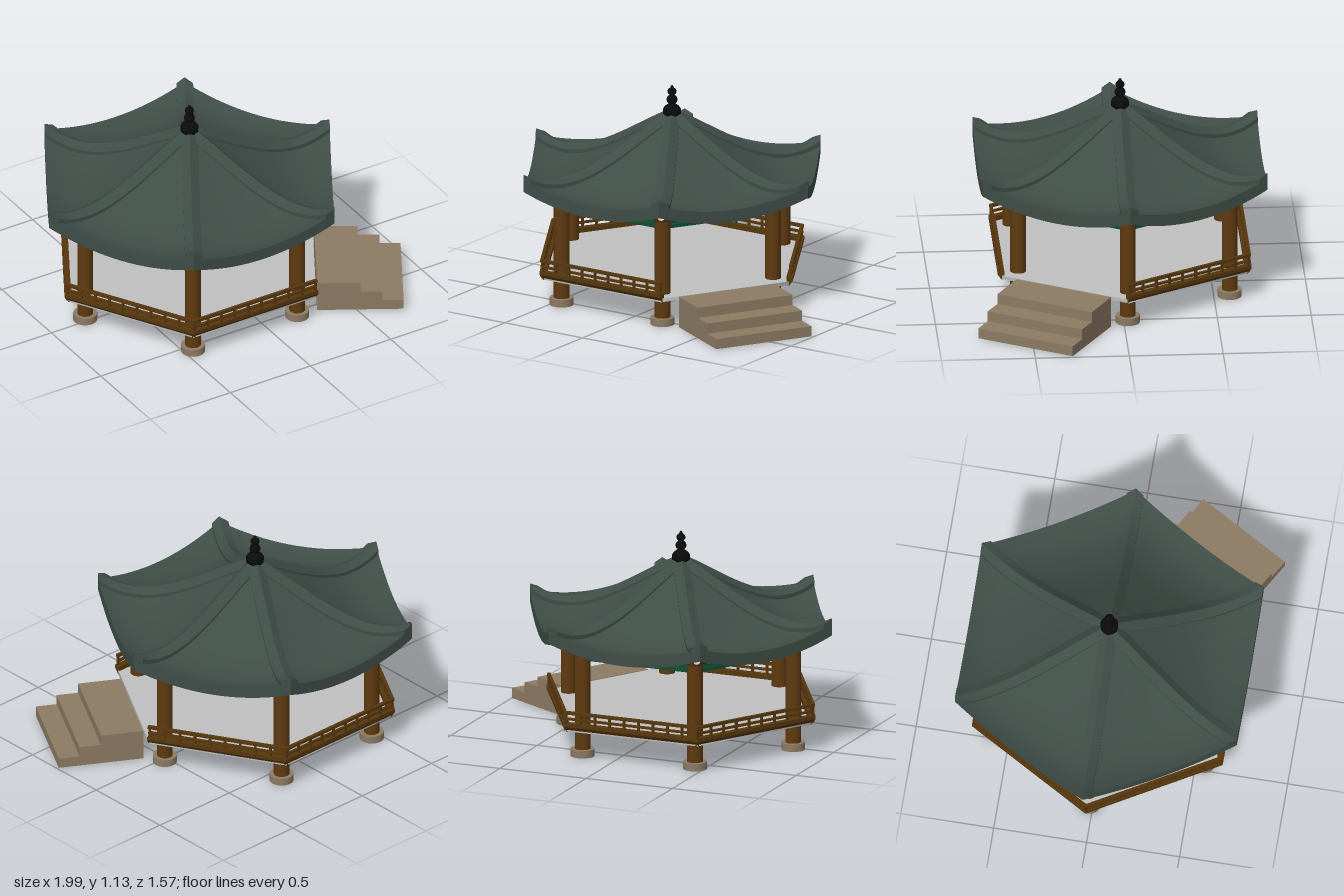
import * as THREE from 'three';

const mat = (name, color) => {
  const m = new THREE.MeshStandardMaterial({ color });
  m.name = name;
  return m;
};

// Surface from a rule f(u, v) -> [x, y, z], u and v in 0..1
function grid(f, nu, nv, flat = false) {
  const pos = [], idx = [];
  for (let i = 0; i <= nu; i++)
    for (let j = 0; j <= nv; j++) pos.push(...f(i / nu, j / nv));
  for (let i = 0; i < nu; i++)
    for (let j = 0; j < nv; j++) {
      const a = i * (nv + 1) + j, c = a + nv + 1;
      idx.push(a, a + 1, c, a + 1, c + 1, c);
    }
  let g = new THREE.BufferGeometry();
  g.setAttribute('position', new THREE.Float32BufferAttribute(pos, 3));
  g.setIndex(idx);
  if (flat) g = g.toNonIndexed();
  g.computeVertexNormals();
  return g;
}

export function createModel() {
  const roofMat = mat('roof tile', 0x3f4d47), wood = mat('wood', 0x5f3a10);
  const green = mat('green paint', 0x0e4d33), stone = mat('stone', 0x8c7a63);
  const floorMat = mat('floor', 0xc0c0c0), black = mat('finial black', 0x0b0b0b);
  const white = mat('white paint', 0xe8e8e8), railWood = mat('railing wood', 0x56370d);

  const model = new THREE.Group();
  model.name = 'pavilion';
  const body = new THREE.Group();
  body.name = 'hexagonalPavilion';
  body.position.set(-0.125, 0, -0.022);
  model.add(body);

  const add = (parent, name, geo, material, x = 0, y = 0, z = 0) => {
    const m = new THREE.Mesh(geo, material);
    m.name = name;
    m.position.set(x, y, z);
    parent.add(m);
    return m;
  };
  // Group whose local +x points outwards at the given angle
  const spoke = (name, degrees) => {
    const g = new THREE.Group();
    g.name = name;
    g.rotation.y = -THREE.MathUtils.degToRad(degrees);
    body.add(g);
    return g;
  };
  const box = (w, h, d) => new THREE.BoxGeometry(w, h, d);

  // Roof rules: t runs from peak to eave, s across one side
  const R = 0.875, A = R * Math.cos(Math.PI / 6), H = R / 2;
  const ridgeY = t => 0.975 - 0.425 * t - 0.385 * t * t + 0.55 * t ** 3;
  const roofY = (t, s) => ridgeY(t) - 0.075 * t * t * (1 - s * s);
  const thick = t => 0.025 + 0.04 * t ** 4;
  const top = (t, s) => [A * t, roofY(t, s), H * t * s];
  const under = (t, s) => [A * t, roofY(t, s) - thick(t), H * t * s];
  const roofTop = grid((u, v) => top(u, 2 * v - 1), 18, 18);
  const roofUnder = grid((u, v) => under(u, 1 - 2 * v), 18, 18);
  const eave = grid((u, v) => (u < 0.5 ? top : under)(1, 2 * v - 1), 1, 18);

  // Hip ridge: peaked section [half width, height above the hip line]
  const section = [[0.045, -0.03], [0.045, 0.008], [0, 0.03], [-0.045, 0.008], [-0.045, -0.03]];
  const ridgePoint = (t, v, low) => {
    const [w, h] = section[Math.round(v * 4)];
    return [R * t - Math.abs(w) * Math.tan(Math.PI / 6), ridgeY(t) + (low ? -0.03 : h), -w];
  };
  const ridge = grid((u, v) => ridgePoint(0.06 + 0.94 * u, v), 20, 4, true);
  const ridgeEnd = grid((u, v) => ridgePoint(1, v, u > 0.5), 1, 4, true);

  // Deck edge board with a chamfered lower edge
  const boardShape = new THREE.Shape([[0.64, 0.15], [0.655, 0.15], [0.675, 0.178],
    [0.675, 0.198], [0.64, 0.198]].map(p => new THREE.Vector2(...p)));
  const board = new THREE.ExtrudeGeometry(boardShape, { depth: 0.776, bevelEnabled: false });
  board.translate(0, 0, -0.388);

  const C = 0.65, CA = C * Math.cos(Math.PI / 6);
  for (let k = 0; k < 6; k++) {
    // One side: roof panel, beams and railing
    const side = spoke('side' + (k + 1), 30 + 60 * k);
    add(side, 'roofPanel', roofTop, roofMat);
    add(side, 'roofUnderside', roofUnder, roofMat);
    add(side, 'roofEave', eave, roofMat);
    add(side, 'upperGreenSlat', box(0.025, 0.024, C), green, CA, 0.565, 0);
    add(side, 'lowerGreenSlat', box(0.025, 0.02, C), green, CA, 0.537, 0);
    const beam = new THREE.CylinderGeometry(0.02, 0.02, C + 0.16, 12).rotateX(Math.PI / 2);
    add(side, 'ringBeam', beam, wood, CA, 0.605, 0);
    for (const e of [-1, 1]) {
      const cap = new THREE.CylinderGeometry(0.019, 0.019, 0.006, 8).rotateX(Math.PI / 2);
      add(side, 'beamEnd', cap, white, CA, 0.605, e * (C / 2 + 0.082));
    }
    if (k > 0) {
      add(side, 'deckEdgeBoard', board, railWood);
      add(side, 'topRail', box(0.018, 0.016, 0.772), railWood, 0.663, 0.255, 0);
      add(side, 'middleRail', box(0.014, 0.012, 0.768), railWood, 0.663, 0.222, 0);
      for (let i = 0; i <= 9; i++)
        add(side, 'baluster', box(0.012, 0.06, 0.012), railWood, 0.663, 0.223, -0.378 + i * 0.084);
    }

    // One corner: hip ridge, column and radial beam
    const corner = spoke('corner' + (k + 1), 60 * k);
    add(corner, 'hipRidge', ridge, roofMat);
    add(corner, 'hipRidgeEnd', ridgeEnd, roofMat);
    add(corner, 'baseStone', new THREE.CylinderGeometry(0.064, 0.064, 0.04, 24), stone, C, 0.02, 0);
    add(corner, 'column', new THREE.CylinderGeometry(0.042, 0.042, 0.57, 24), wood, C, 0.325, 0);
    add(corner, 'columnBracket', new THREE.CylinderGeometry(0.062, 0.042, 0.045, 12), wood, C, 0.592, 0);
    const radial = new THREE.CylinderGeometry(0.02, 0.02, 0.735, 12).rotateZ(Math.PI / 2);
    add(corner, 'radialBeam', radial, wood, 0.3675, 0.612, 0);
    const flower = new THREE.CylinderGeometry(0.02, 0.02, 0.006, 8).rotateZ(Math.PI / 2);
    add(corner, 'radialBeamEnd', flower, white, 0.738, 0.615, 0);
  }

  // Deck floor, corners on the x axis
  const deck = new THREE.CylinderGeometry(0.765, 0.765, 0.02, 6).rotateY(Math.PI / 6);
  add(body, 'deckFloor', deck, floorMat, 0, 0.162, 0);

  // Stone steps on the open side
  const stairs = spoke('stairs', 30);
  const stepShape = new THREE.Shape([[0.67, 0.004], [1.13, 0.004], [1.13, 0.06], [1.017, 0.06],
    [1.017, 0.116], [0.9, 0.116], [0.9, 0.172], [0.67, 0.172]].map(p => new THREE.Vector2(...p)));
  const steps = new THREE.ExtrudeGeometry(stepShape, { depth: 0.56, bevelEnabled: false });
  add(stairs, 'steps', steps, stone, 0, 0, -0.28);

  // Finial of stacked balls
  const profile = [[0, 0.96], [0.046, 0.96], [0.048, 0.998], [0.04, 1.012], [0.022, 1.026],
    [0.016, 1.03], [0.026, 1.038], [0.03, 1.052], [0.025, 1.066], [0.013, 1.077], [0.022, 1.086],
    [0.025, 1.097], [0.02, 1.108], [0.01, 1.116], [0.007, 1.126], [0, 1.132]];
  add(body, 'finial', new THREE.LatheGeometry(profile.map(p => new THREE.Vector2(...p)), 20), black);

  return model;
}
